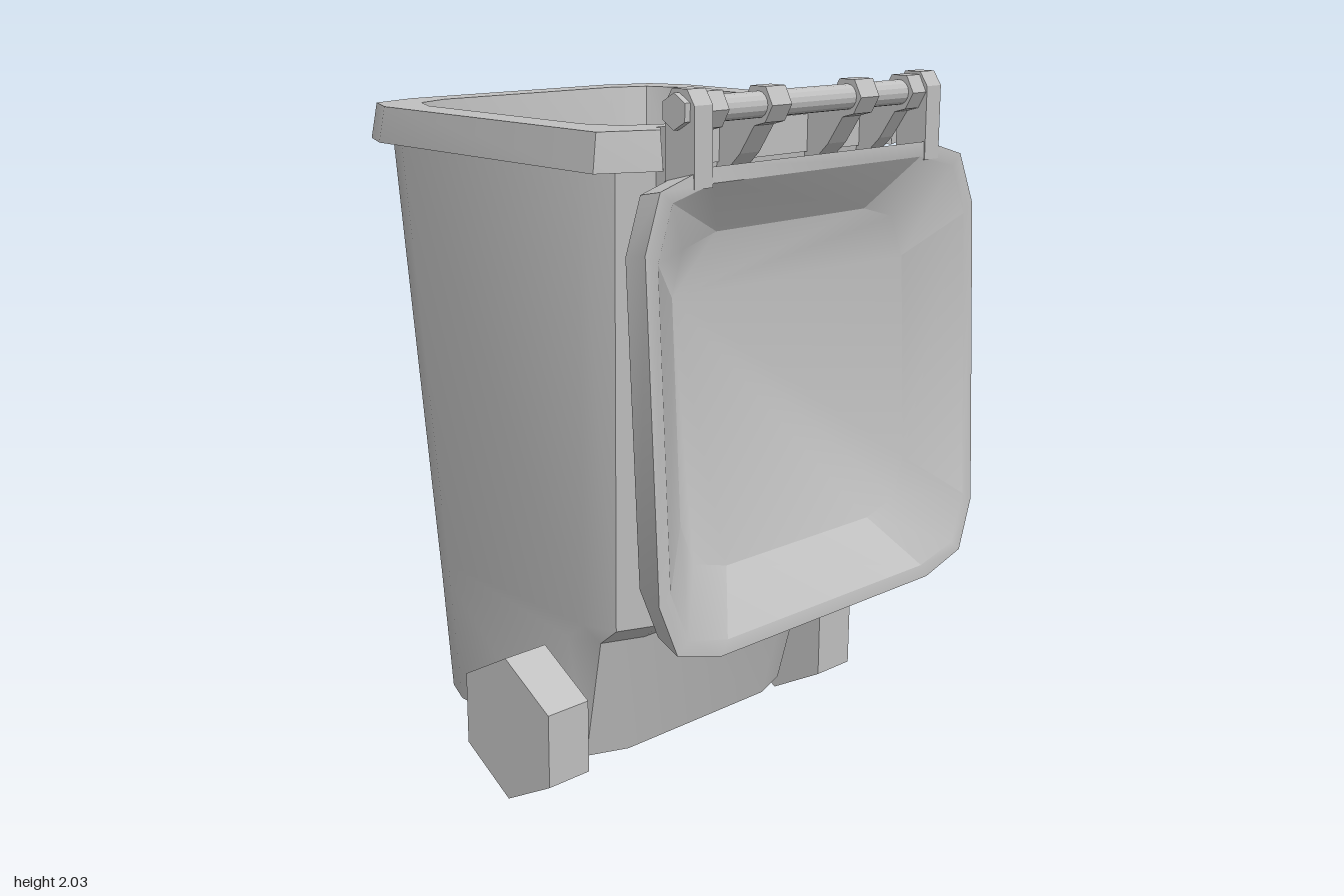
import * as THREE from 'three';
import { toCreasedNormals } from 'three/addons/utils/BufferGeometryUtils.js';

const grey = new THREE.MeshStandardMaterial({ color: 0xc0c0c0 });
grey.name = 'grey plastic';

// Rectangle with two-step chamfered corners, 12 points [x, v].
// l, w: where the chamfer meets the side and end; m, n: inset of its middle point.
function ring(xL, xR, v0, v1, [l, m, n, w]) {
  return [
    [xL, v0 + l], [xL + m, v0 + n], [xL + w, v0],
    [xR - w, v0], [xR - m, v0 + n], [xR, v0 + l],
    [xR, v1 - l], [xR - m, v1 - n], [xR - w, v1],
    [xL + w, v1], [xL + m, v1 - n], [xL, v1 - l],
  ];
}

// Skin over equal-length rings of 3D points, with optional flat caps.
function loft(rings, capStart, capEnd) {
  const pos = [];
  const tri = (a, b, c) => pos.push(...a, ...b, ...c);
  const n = rings[0].length;
  for (let k = 0; k + 1 < rings.length; k++) {
    for (let i = 0; i < n; i++) {
      const j = (i + 1) % n;
      const a = rings[k][i], b = rings[k][j], c = rings[k + 1][j], d = rings[k + 1][i];
      tri(a, d, c);
      tri(a, c, b);
    }
  }
  const first = rings[0], last = rings[rings.length - 1];
  for (let i = 1; i + 1 < n; i++) {
    if (capStart) tri(first[0], first[i], first[i + 1]);
    if (capEnd) tri(last[0], last[i + 1], last[i]);
  }
  const geo = new THREE.BufferGeometry();
  geo.setAttribute('position', new THREE.Float32BufferAttribute(pos, 3));
  return toCreasedNormals(geo, 0.6);
}

// Side profile [z, y] extruded along x from x0 to x1.
function sideExtrude(profile, x0, x1) {
  const shape = new THREE.Shape(profile.map(([z, y]) => new THREE.Vector2(-z, y)));
  const geo = new THREE.ExtrudeGeometry(shape, { depth: x1 - x0, bevelEnabled: false });
  return geo.rotateY(Math.PI / 2).translate(x0, 0, 0);
}

// Cylinder lying along x.
function rod(radius, x0, x1, y, z, sides, flat) {
  let geo = new THREE.CylinderGeometry(radius, radius, x1 - x0, sides);
  geo.rotateZ(Math.PI / 2);
  if (sides === 6) geo.rotateX(Math.PI / 2);
  geo.translate((x0 + x1) / 2, y, z);
  return flat ? toCreasedNormals(geo, 0.3) : geo;
}

export function createModel() {
  const model = new THREE.Group();
  model.name = 'wheeledBin';
  const add = (name, geo) => {
    const mesh = new THREE.Mesh(geo, grey);
    mesh.name = name;
    model.add(mesh);
  };
  const level = (pts, y) => pts.map(([x, z]) => [x, y, z]);

  // Tapered body with a step at the front above the axle
  const bodyCorner = [0.145, 0.038, 0.047, 0.16];
  const bodyTop = level(ring(-0.537, 0.542, -0.645, 0.432, bodyCorner), 1.79);
  add('body', loft([
    level(ring(-0.463, 0.42, -0.545, 0.205, bodyCorner), 0.06),
    level(ring(-0.477, 0.446, -0.567, 0.29, bodyCorner), 0.445),
    level(ring(-0.48, 0.45, -0.57, 0.36, bodyCorner), 0.503),
    bodyTop,
  ], true, false));

  // Flared rim, cut back at the hinge, with the shallow cavity inside
  const rimOutline = (inset) => {
    const pts = ring(-0.592 + inset, 0.614 - inset, -0.706 + inset * 1.6, 0.5, [0.175, 0.055, 0.052, 0.212]);
    const front = [[0.614 - inset, 0.41], [0.452, 0.487 - inset], [0.42, 0.44],
      [-0.395, 0.44], [-0.428, 0.487 - inset], [-0.592 + inset, 0.41]];
    return [...pts.slice(0, 6), ...front];
  };
  const openCorner = [0.148, 0.045, 0.047, 0.16];
  add('rim', loft([
    bodyTop,
    level(rimOutline(0), 1.788),
    level(rimOutline(0.011), 1.89),
    level(ring(-0.475, 0.5, -0.595, 0.378, openCorner), 1.89),
    level(ring(-0.45, 0.477, -0.57, 0.355, openCorner), 1.63),
  ], false, true));

  // Open lid hanging in front, a shallow tray facing forward and leaning slightly
  const lidRing = (inset, depth, corner) =>
    ring(-0.627 + inset, 0.638 - inset, -1.81 + inset, -0.55 - inset, corner)
      .map(([x, v]) => [x, -v, 0.7 - 0.057 * (-v - 0.55) + depth]);
  const lidCorner = [0.19, 0.056, 0.045, 0.21];
  const innerCorner = [0.15, 0.042, 0.034, 0.162];
  add('lid', loft([
    lidRing(0.145, -0.13, innerCorner),
    lidRing(0.018, -0.092, lidCorner),
    lidRing(0, 0, lidCorner),
    lidRing(0.04, 0, [0.175, 0.055, 0.035, 0.195]),
    lidRing(0.183, -0.11, innerCorner),
  ], true, true));

  // Hinge rod with hexagonal end caps
  const hingeY = 1.944, hingeZ = 0.577;
  add('hingeRod', rod(0.034, -0.46, 0.48, hingeY, hingeZ, 16, true));
  for (const [x0, x1] of [[-0.478, -0.45], [0.465, 0.492]]) {
    add('hingeCap', rod(0.045, x0, x1, hingeY, hingeZ, 6, true));
  }

  // Lid arms rising to the rod
  const armProfile = [[0.632, 1.76], [0.63, 1.96], [0.604, 1.998], [0.552, 1.998], [0.527, 1.96], [0.53, 1.74]];
  for (const [x0, x1] of [[-0.46, -0.398], [0.42, 0.48]]) {
    add('lidArm', sideExtrude(armProfile, x0, x1));
  }

  // Brackets joining the rim to the rod
  const bracketProfile = [[0.42, 1.89], [0.485, 1.9], [0.515, 1.93], [0.55, 1.99], [0.602, 1.99],
    [0.627, 1.944], [0.602, 1.9], [0.565, 1.89], [0.515, 1.815], [0.425, 1.725]];
  for (const [x0, x1] of [[-0.395, -0.338], [-0.187, -0.115], [0.15, 0.224], [0.365, 0.42]]) {
    add('hingeBracket', sideExtrude(bracketProfile, x0, x1));
  }

  // Axle and hexagonal wheels
  add('axle', rod(0.038, -0.51, 0.465, 0.19, 0.075, 8, true));
  for (const [x0, x1] of [[-0.648, -0.505], [0.458, 0.602]]) {
    add('wheel', rod(0.218, x0, x1, 0.189, 0.075, 6, true));
  }
  return model;
}
